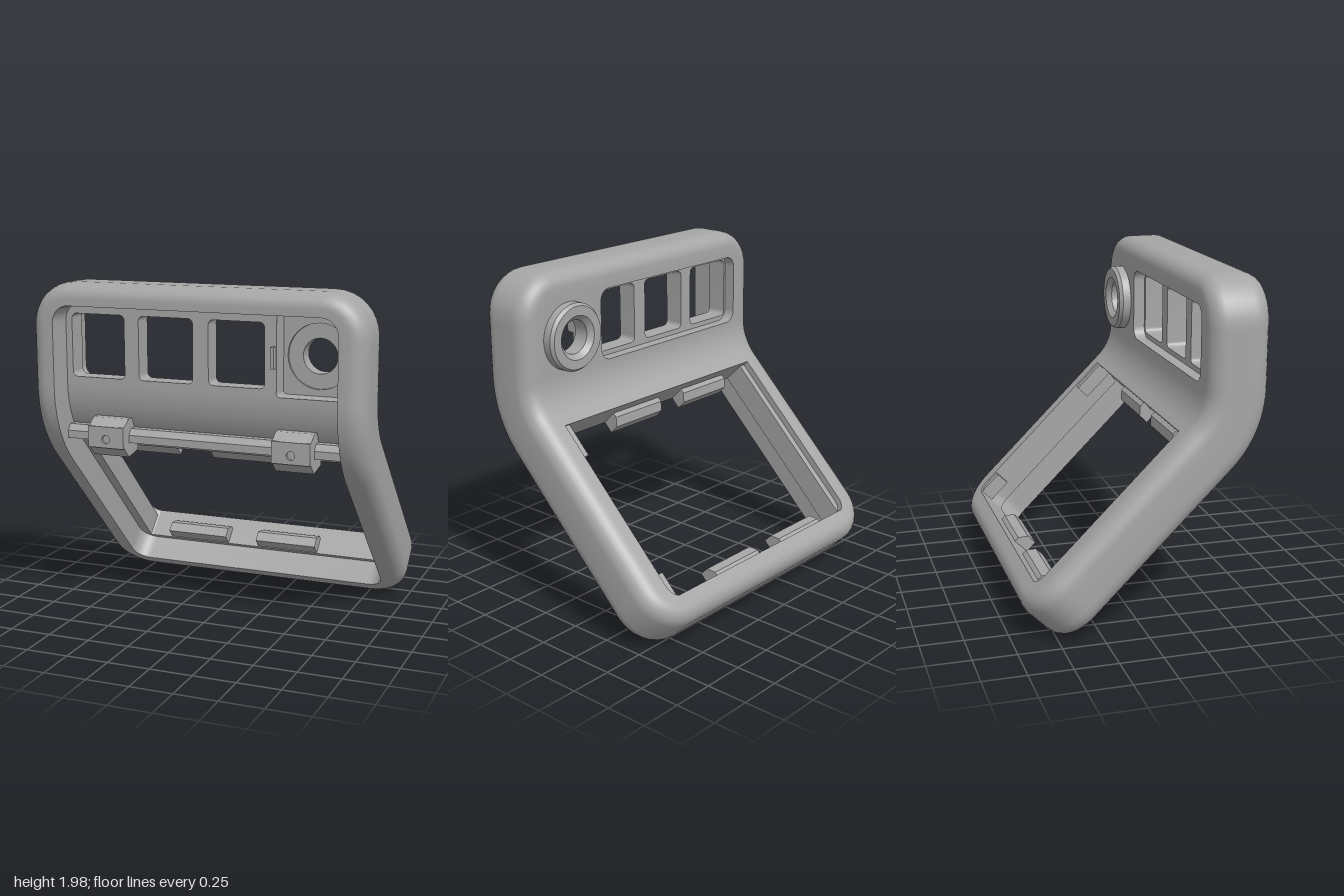
import * as THREE from 'three';
import { toCreasedNormals } from 'three/addons/utils/BufferGeometryUtils.js';

const BEND_Y = 1.385, BEND_Z = 0.03, BEND_LEN = 0.373;   // bend axis and flat length of the bend
const TOP = 1.99, BOTTOM = -0.342;                       // flat extent of the housing
const BACK = 0.33, MID = 0.52, FRONT = 0.68;             // depth layers
const EDGE = 0.966, SILL = -0.187;                       // flat limits of the large opening

// Folds flat geometry (x, length, depth) 45 degrees backwards below the bend
function bend(geo) {
  const p = geo.attributes.position;
  for (let i = 0; i < p.count; i++) {
    const v = p.getY(i), r = p.getZ(i) - BEND_Z;
    if (v >= BEND_Y) continue;
    const a = Math.min((BEND_Y - v) / BEND_LEN, 1) * Math.PI / 4;
    const d = Math.max(BEND_Y - BEND_LEN - v, 0) * Math.SQRT1_2;
    p.setY(i, BEND_Y - r * Math.sin(a) - d);
    p.setZ(i, BEND_Z + r * Math.cos(a) - d);
  }
  return toCreasedNormals(geo, 0.6);
}

// Counter-clockwise rounded rectangle, with extra points along the sides
function ringPoints(hw, y0, y1, r) {
  const pts = [], side = 60, arc = 8;
  const corner = (cx, cy, start) => {
    for (let i = 0; i <= arc; i++) {
      const a = start + i / arc * Math.PI / 2;
      pts.push([cx + r * Math.cos(a), cy + r * Math.sin(a)]);
    }
  };
  const run = (x, a, b) => {
    for (let i = 1; i < side; i++) pts.push([x, a + (b - a) * i / side]);
  };
  run(hw, y0 + r, y1 - r);
  corner(hw - r, y1 - r, 0);
  corner(-hw + r, y1 - r, Math.PI / 2);
  run(-hw, y1 - r, y0 + r);
  corner(-hw + r, y0 + r, Math.PI);
  corner(hw - r, y0 + r, Math.PI * 1.5);
  return pts;
}

// Wall section swept round the rounded rectangle
function frameGeometry() {
  const section = [[0.15, MID], [0.15, FRONT]];
  const R = 0.1, n = 7;
  for (let i = 0; i <= n; i++) {
    const a = i / n * Math.PI / 2;
    section.push([R - R * Math.sin(a), FRONT - R + R * Math.cos(a)]);
  }
  for (let i = 0; i <= n; i++) {
    const a = i / n * Math.PI / 2;
    section.push([R - R * Math.cos(a), BACK + R - R * Math.sin(a)]);
  }
  section.push([0.17, BACK], [0.17, MID], [0.15, MID]);
  const pos = [], idx = [];
  let count = 0;
  section.forEach(([d, t]) => {
    const pts = ringPoints(1 - d, BOTTOM + d * 0.87, TOP - d * 0.87, 0.25 - d);
    count = pts.length;
    pts.forEach(([x, v]) => pos.push(x, v, t));
  });
  for (let i = 0; i < section.length - 1; i++) {
    for (let j = 0; j < count; j++) {
      const k = (j + 1) % count;
      const a = i * count + j, b = i * count + k, c = b + count, d = a + count;
      idx.push(a, d, b, d, c, b);
    }
  }
  const geo = new THREE.BufferGeometry();
  geo.setAttribute('position', new THREE.Float32BufferAttribute(pos, 3));
  geo.setIndex(idx);
  return bend(geo);
}

function roundRect(x0, y0, x1, y1, r, Type = THREE.Path) {
  const s = new Type();
  s.moveTo(x0 + r, y0);
  s.lineTo(x1 - r, y0); s.absarc(x1 - r, y0 + r, r, -Math.PI / 2, 0);
  s.lineTo(x1, y1 - r); s.absarc(x1 - r, y1 - r, r, 0, Math.PI / 2);
  s.lineTo(x0 + r, y1); s.absarc(x0 + r, y1 - r, r, Math.PI / 2, Math.PI);
  s.lineTo(x0, y0 + r); s.absarc(x0 + r, y0 + r, r, Math.PI, Math.PI * 1.5);
  return s;
}

function circle(x, y, r) {
  const c = new THREE.Path();
  c.absarc(x, y, r, 0, Math.PI * 2);
  return c;
}

// Flat plate with holes between two depths
function plate(shape, holes, z0, z1) {
  shape.holes.push(...holes);
  const geo = new THREE.ExtrudeGeometry(shape, { depth: z1 - z0, bevelEnabled: false, curveSegments: 16 });
  return toCreasedNormals(geo.translate(0, 0, z0), 0.5);
}

// (z, y) outline extruded along x
function prism(outline, x0, x1) {
  const shape = new THREE.Shape(outline.map(([z, y]) => new THREE.Vector2(-z, y)));
  const geo = new THREE.ExtrudeGeometry(shape, { depth: x1 - x0, bevelEnabled: false });
  return geo.rotateY(Math.PI / 2).translate(x0, 0, 0);
}

// Box in flat coordinates, folded with the housing
function bentBox(x0, x1, v0, v1, t0, t1) {
  const geo = new THREE.BoxGeometry(x1 - x0, v1 - v0, t1 - t0, 1, 16, 1);
  return bend(geo.translate((x0 + x1) / 2, (v0 + v1) / 2, (t0 + t1) / 2));
}

export function createModel() {
  const model = new THREE.Group();
  model.name = 'bentHousing';
  const grey = new THREE.MeshStandardMaterial({ color: 0xa6a6a6 });
  grey.name = 'grey plastic';
  const add = (name, geo) => {
    const mesh = new THREE.Mesh(geo, grey);
    mesh.name = name;
    model.add(mesh);
    return mesh;
  };

  add('outerFrame', frameGeometry());

  // Upper panel: windowed front layer, recessed back layer
  const lensX = 0.66, lensY = 1.61;
  const windows = [-0.81, -0.385, 0.045].map(x => roundRect(x, 1.43, x + 0.335, 1.8, 0.03));
  const panel = () => roundRect(-0.84, BEND_Y, 0.848, 1.87, 0.001, THREE.Shape);
  add('windowPanel', plate(panel(), [...windows, roundRect(0.45, 1.388, 0.84, 1.85, 0.02)], 0.4, MID));
  add('recessPanel', plate(panel(),
    [roundRect(-0.825, 1.4, 0.4, 1.83, 0.07), circle(lensX, lensY, 0.185)], BACK, 0.4));

  // Lens ring
  const ring = [[0.1, 0.385], [0.1, 0.29], [0.13, 0.26], [0.185, 0.26], [0.2, 0.28],
    [0.2, 0.332], [0.187, 0.34], [0.187, 0.385], [0.1, 0.385]];
  const lens = new THREE.LatheGeometry(ring.map(([r, z]) => new THREE.Vector2(r, z)), 48);
  add('lensRing', toCreasedNormals(lens.rotateX(Math.PI / 2), 0.4)).position.set(lensX, lensY, 0);
  add('pocketLatch', new THREE.BoxGeometry(0.02, 0.12, 0.05)).position.set(0.438, 1.61, 0.54);

  // Curved panel and the lips of the large opening
  add('curvedPanel', bentBox(-0.84, 0.84, EDGE, BEND_Y, BACK, MID));
  add('rightLip', bentBox(-0.86, -0.79, -0.21, EDGE, 0.37, MID));
  add('bottomLip', bentBox(-0.78, 0.78, -0.24, SILL, BACK, MID));
  add('upperLug', bentBox(0.79, 0.86, EDGE - 0.21, EDGE, 0.34, 0.43));
  add('lowerLug', bentBox(0.79, 0.86, -0.21, -0.03, 0.34, 0.43));

  // Retaining tabs above and below the opening
  [[-0.635, -0.23], [-0.02, 0.38]].forEach(([x0, x1]) => {
    [[EDGE, -1], [SILL, 1]].forEach(([v, dir]) => {
      const outline = [[0.41, v - dir * 0.02], [0.41, v + dir * 0.03], [0.45, v + dir * 0.075],
        [0.515, v + dir * 0.075], [0.515, v - dir * 0.02]];
      add(dir > 0 ? 'lowerTab' : 'upperTab', bend(prism(outline, x0, x1)));
    });
  });

  // Cross bar with two drilled blocks
  add('crossBar', prism([[0.43, 1.06], [0.43, 1.14], [0.5, 1.14], [0.53, 1.105], [0.53, 1.06]], -0.86, 0.86));
  [-0.565, 0.565].forEach(x => {
    const outline = [[0.41, 1.2], [0.53, 1.2], [0.59, 1.16], [0.59, 1.035], [0.53, 0.975], [0.41, 1.0]];
    add('barBlock', prism(outline, x - 0.113, x + 0.113));
    add('blockFace', plate(roundRect(x - 0.113, 1.035, x + 0.113, 1.16, 0.001, THREE.Shape),
      [circle(x, 1.085, 0.025)], 0.59, 0.605));
  });
  return model;
}
